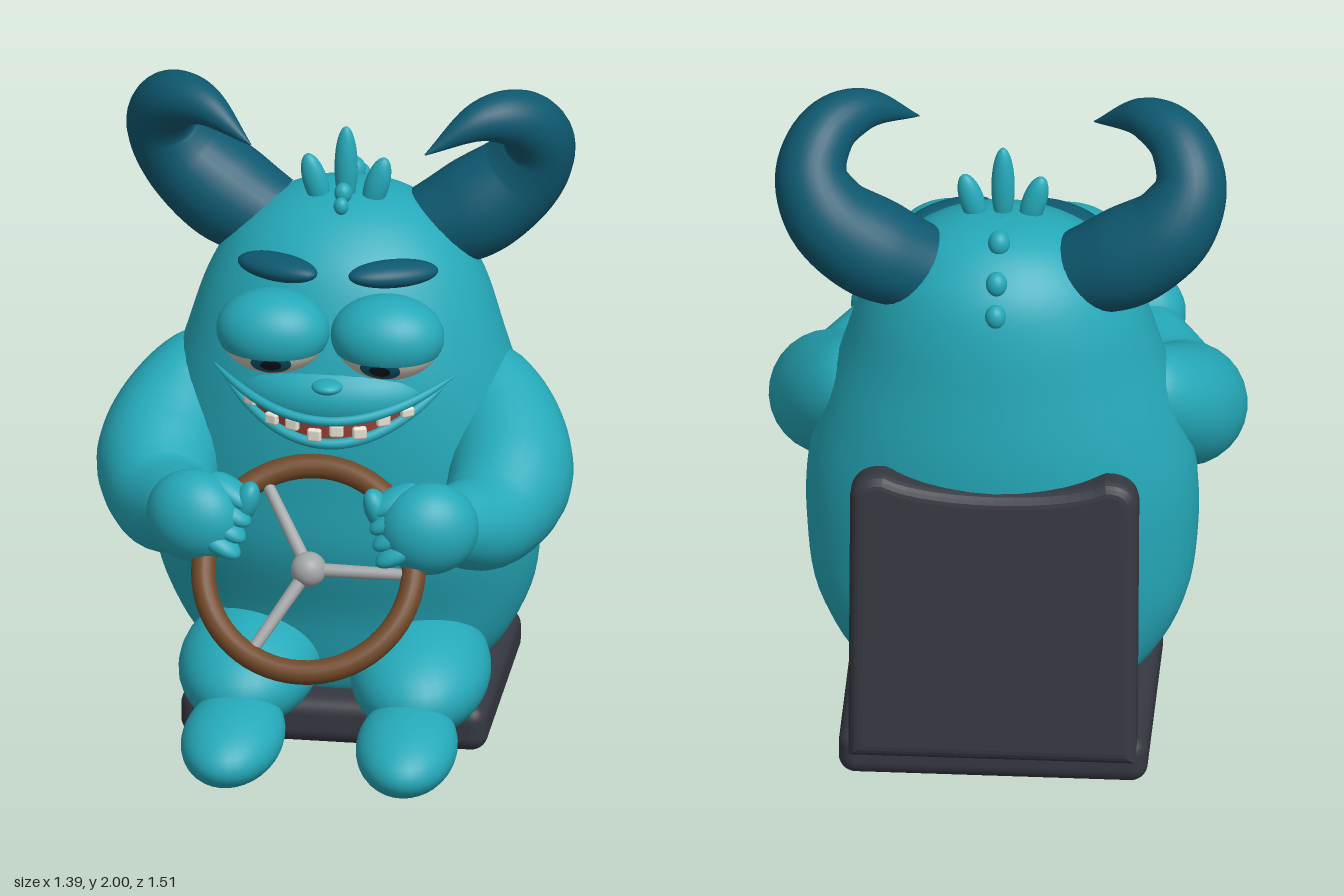
import * as THREE from 'three';
import { RoundedBoxGeometry } from 'three/addons/geometries/RoundedBoxGeometry.js';

const mat = (name, color, side = THREE.FrontSide) => {
  const m = new THREE.MeshStandardMaterial({ color, side });
  m.name = name;
  return m;
};
const V = (x, y, z) => new THREE.Vector3(x, y, z);

// Skin a list of rings (equal point counts) into a smooth surface.
function loft(rings, closed = true) {
  const n = rings[0].length, index = [], cols = closed ? n : n - 1;
  for (let i = 0; i < rings.length - 1; i++) {
    for (let j = 0; j < cols; j++) {
      const k = (j + 1) % n, a = i * n + j, b = i * n + k;
      index.push(a, b, a + n, b, b + n, a + n);
    }
  }
  const g = new THREE.BufferGeometry().setFromPoints(rings.flat());
  g.setIndex(index);
  g.computeVertexNormals();
  return g;
}

// Round tube along a curve; each node is [x, y, z, radius].
function sweep(nodes, s = 1, steps = 40, sides = 28) {
  const path = new THREE.CatmullRomCurve3(nodes.map(p => V(p[0] * s, p[1], p[2])));
  const radius = new THREE.CatmullRomCurve3(nodes.map(p => V(p[3], 0, 0)), false, 'catmullrom');
  const { normals, binormals } = path.computeFrenetFrames(steps);
  const rings = [];
  for (let i = 0; i <= steps; i++) {
    const u = i / steps, c = path.getPointAt(u);
    const r = Math.max(radius.getPoint(path.getUtoTmapping(u)).x, 0.001);
    rings.push(Array.from({ length: sides }, (_, j) => {
      const a = j / sides * Math.PI * 2;
      return c.clone().addScaledVector(normals[i], r * Math.cos(a)).addScaledVector(binormals[i], r * Math.sin(a));
    }));
  }
  return loft(rings);
}

export function createModel() {
  const root = new THREE.Group();
  const skin = mat('teal skin', 0x25a9b9, THREE.DoubleSide);
  const horn = mat('dark teal', 0x0e5970);
  const seatMat = mat('charcoal seat', 0x353840);
  const wood = mat('brown wheel', 0x714828);
  const metal = mat('grey metal', 0xa3a6a8);
  const white = mat('eye beige', 0xd2c8b8);
  const black = mat('pupil black', 0x10161c);
  const red = mat('mouth red', 0xa8483c, THREE.DoubleSide);
  const ivory = mat('tooth ivory', 0xe6e0d2);

  const add = (name, geo, material, parent = root) => {
    const m = new THREE.Mesh(geo, material);
    m.name = name;
    parent.add(m);
    return m;
  };
  const ball = (name, material, pos, size, rot = [0, 0, 0], parent = root) => {
    const m = add(name, new THREE.SphereGeometry(1, 32, 22), material, parent);
    m.position.set(...pos);
    m.scale.set(...size);
    m.rotation.set(...rot);
    return m;
  };

  // Egg-shaped body: [height, half width, front z, back z]
  const profile = [
    [0.10, 0.02, -0.28, -0.32], [0.12, 0.28, -0.08, -0.5], [0.2, 0.42, -0.03, -0.565],
    [0.4, 0.535, 0.02, -0.6], [0.62, 0.57, 0.1, -0.63], [0.82, 0.565, 0.12, -0.642],
    [1.0, 0.525, 0.13, -0.645], [1.2, 0.465, 0.12, -0.625], [1.38, 0.405, 0.07, -0.6],
    [1.5, 0.335, 0.01, -0.56], [1.59, 0.235, -0.09, -0.48], [1.635, 0.12, -0.19, -0.39],
    [1.645, 0.002, -0.288, -0.292]];
  const shape = new THREE.CatmullRomCurve3(profile.map(p => V(p[0], p[1], (p[2] - p[3]) / 2)));
  const spine = new THREE.CatmullRomCurve3(profile.map(p => V(p[0], (p[2] + p[3]) / 2, 0)), false, 'catmullrom');
  const rings = [];
  for (let i = 0; i <= 60; i++) {
    const p = shape.getPoint(i / 60), mid = spine.getPoint(i / 60).y;
    rings.push(Array.from({ length: 48 }, (_, j) => {
      const a = j / 48 * Math.PI * 2;
      return V(Math.cos(a) * p.y, p.x, mid - Math.sin(a) * p.z);
    }));
  }
  add('body', loft(rings), skin);
  ball('muzzle', skin, [0, 1.13, -0.04], [0.31, 0.14, 0.2]);
  ball('nose', skin, [0, 1.195, 0.155], [0.045, 0.02, 0.04]);

  // Smiling mouth: t runs from corner to corner
  const upper = t => V(0.35 * t, 1.105 + 0.08 * t * t, 0.01 + 0.19 * (1 - t * t));
  const lower = t => V(0.34 * t, 1.025 + 0.15 * t * t, 0.0 + 0.18 * (1 - t * t));
  const ts = Array.from({ length: 25 }, (_, i) => i / 12 - 1);
  const inset = p => p.add(V(0, 0, -0.008));
  add('mouth', loft([ts.map(t => inset(lower(t))), ts.map(t => inset(upper(t)))], false), red);
  for (const [name, f, r] of [['upperLip', upper, 0.014], ['lowerLip', lower, 0.016]]) {
    add(name, sweep(ts.filter((_, i) => i % 2 === 0).map(t => [...f(t).toArray(), r * (1 - 0.8 * t ** 6)]), 1, 48, 10), skin);
  }
  for (let i = 0; i < 8; i++) {
    const t = (i - 3.5) * 0.19;
    const p = lower(t).lerp(upper(t), i % 2 ? 0.35 : 0.6);
    const tooth = add('tooth', new RoundedBoxGeometry(0.042, 0.04 - 0.022 * t * t, 0.022, 2, 0.008), ivory);
    tooth.position.copy(p);
    tooth.rotation.y = Math.atan(1.08 * t);
  }

  // Hair tufts and small bumps along the crown
  ball('hairTuft', skin, [0, 1.72, -0.24], [0.034, 0.13, 0.03]);
  for (const s of [-1, 1]) ball('hairTuft', skin, [s * 0.09, 1.67, -0.24], [0.036, 0.09, 0.03], [0, 0, -s * 0.28]);
  for (const [y, z, r] of [[1.665, -0.18, 0.026], [1.642, -0.137, 0.022], [1.635, -0.42, 0.032],
    [1.565, -0.537, 0.031], [1.482, -0.583, 0.03]]) ball('crownBump', skin, [0, y, z], [r, r * 1.2, r]);

  for (const s of [-1, 1]) {
    const side = s > 0 ? 'left' : 'right';
    const half = new THREE.Group();
    half.name = side + 'Parts';
    root.add(half);

    // Horn
    add(side + 'Horn', sweep([[0.24, 1.5, -0.34, 0.13], [0.37, 1.57, -0.36, 0.148], [0.5, 1.68, -0.37, 0.13],
      [0.553, 1.8, -0.33, 0.105], [0.51, 1.9, -0.25, 0.088], [0.41, 1.925, -0.17, 0.062],
      [0.255, 1.85, -0.07, 0.002]], s, 48), horn, half);

    // Eye with half-closed lid, iris and pupil
    const eye = new THREE.Group();
    eye.name = side + 'Eye';
    eye.position.set(s * 0.168, 1.325, 0.088);
    half.add(eye);
    const r = [0.155, 0.115, 0.12];
    ball('eyeball', white, [0, 0, 0], r, [0, 0, 0], eye);
    for (const [name, m, angle, k] of [['iris', horn, 0.39, 1.01], ['pupil', black, 0.2, 1.018]]) {
      const cap = new THREE.SphereGeometry(1, 28, 8, 0, Math.PI * 2, 0, angle);
      cap.rotateX(Math.PI / 2 + 0.5).rotateY(-s * 0.06).scale(r[0] * k, r[1] * k, r[2] * k);
      add(name, cap, m, eye);
    }
    const lid = add('eyelid', new THREE.SphereGeometry(1, 36, 24, 0, Math.PI * 2, 0, 2.0), skin, eye);
    lid.position.y = 0.015;
    lid.scale.set(0.166, 0.121, 0.131);

    // Eyebrow
    ball(side + 'Eyebrow', horn, [s * 0.17, 1.49, -0.02], [0.138, 0.038, 0.06], [0, s * 0.5, -s * 0.06], half);

    // Arm, hand and curled fingers
    add(side + 'Arm', sweep([[0.34, 1.1, -0.3, 0.03], [0.4, 1.07, -0.26, 0.12], [0.48, 0.97, -0.15, 0.165],
      [0.515, 0.87, 0, 0.182], [0.475, 0.82, 0.18, 0.152], [0.4, 0.86, 0.34, 0.118],
      [0.34, 0.9, 0.47, 0.08]], s), skin, half);
    ball(side + 'Hand', skin, [s * 0.345, 0.905, 0.47], [0.145, 0.138, 0.115], [0, s * 0.3, 0], half);
    for (let i = 0; i < 4; i++) {
      ball(side + 'Finger', skin, [s * (0.235 + i * 0.012), 0.985 - i * 0.042, 0.465 + i * 0.022],
        [0.085, 0.032, 0.048], [0, s * 0.35, s * 0.5], half);
    }
    ball(side + 'Thumb', skin, [s * 0.195, 0.955, 0.47], [0.038, 0.072, 0.045], [0.2, 0, s * 0.35], half);

    // Thigh and foot
    ball(side + 'Thigh', skin, [s * 0.25, 0.235, -0.02], [0.205, 0.155, 0.29], [0.12, s * 0.06, 0], half);
    ball(side + 'Foot', skin, [s * 0.255, 0.13, 0.3], [0.148, 0.106, 0.235], [0.12, s * 0.06, 0], half);
  }

  // Steering wheel
  const wheel = new THREE.Group();
  wheel.name = 'steeringWheel';
  wheel.position.set(0, 0.783, 0.535);
  wheel.rotation.x = -0.64;
  root.add(wheel);
  add('rim', new THREE.TorusGeometry(0.308, 0.036, 18, 64), wood, wheel);
  ball('hub', metal, [0, 0, 0], [0.052, 0.052, 0.052], [0, 0, 0], wheel);
  for (let i = 0; i < 3; i++) {
    const spoke = new THREE.CylinderGeometry(0.017, 0.021, 0.3, 14);
    spoke.translate(0, 0.15, 0).rotateZ(-Math.PI / 2 + i * Math.PI * 2 / 3);
    add('spoke', spoke, metal, wheel);
  }

  // Seat cushion and backrest with a dipped top edge
  add('seatCushion', new RoundedBoxGeometry(0.9, 0.145, 0.775, 5, 0.05), seatMat).position.set(0, 0.0725, -0.342);
  const b = 0.04, w = 0.42 - b, h = 0.45 - b;
  const panel = new THREE.Shape();
  panel.moveTo(-w, -h);
  panel.lineTo(w, -h);
  panel.lineTo(w, h - 0.04);
  panel.quadraticCurveTo(w, h, w - 0.05, h);
  panel.bezierCurveTo(w - 0.18, h - 0.065, -w + 0.18, h - 0.065, -w + 0.05, h);
  panel.quadraticCurveTo(-w, h, -w, h - 0.04);
  const backGeo = new THREE.ExtrudeGeometry(panel, {
    depth: 0.04, bevelThickness: b, bevelSize: b, bevelSegments: 5, curveSegments: 14 });
  backGeo.translate(0, 0, -0.02);
  const backrest = add('backrest', backGeo, seatMat);
  backrest.position.set(0, 0.52, -0.652);
  backrest.rotation.x = 0.1;

  return root;
}
